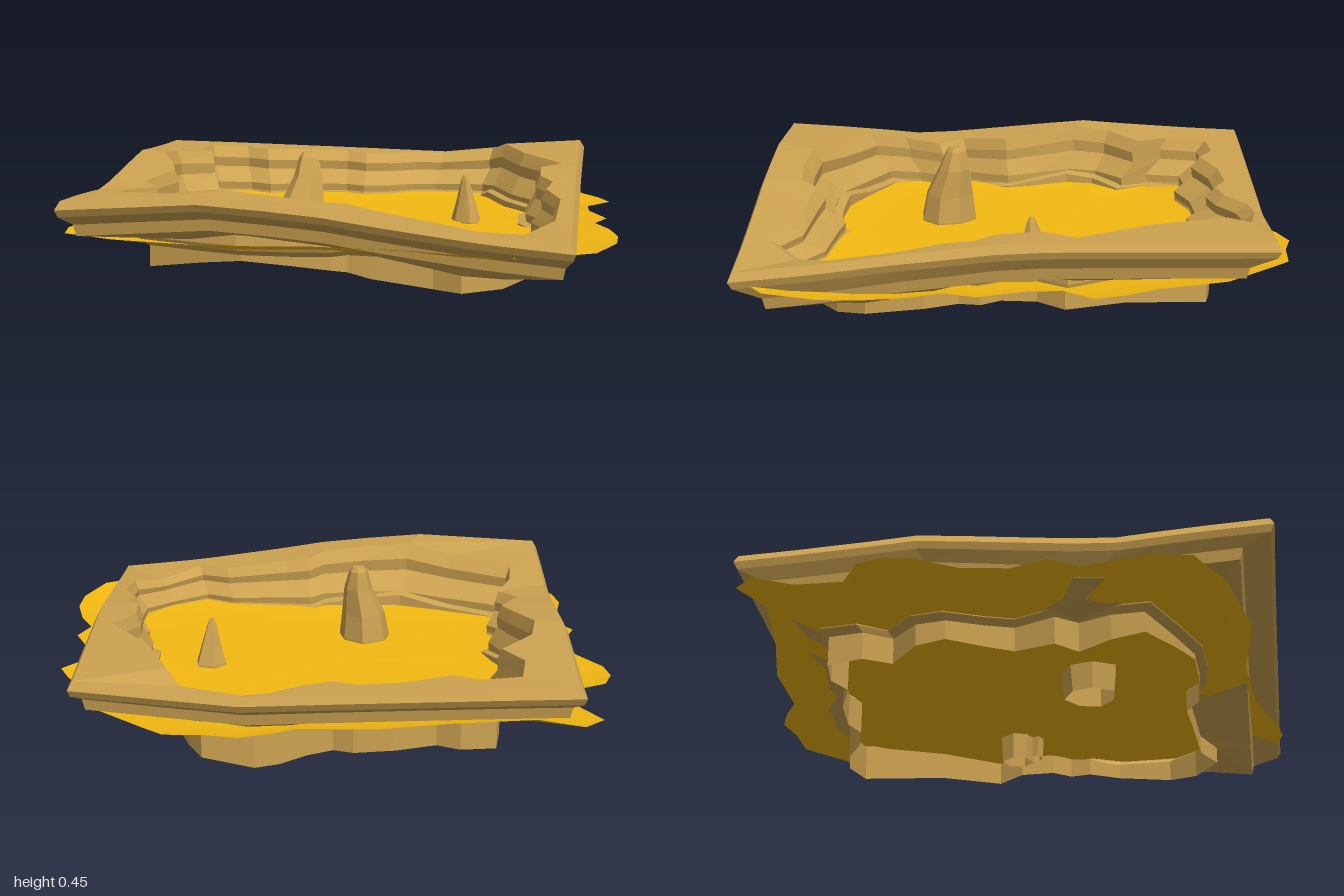
import * as THREE from 'three';

const rock = new THREE.MeshStandardMaterial({ color: 0xcda351, flatShading: true, side: THREE.DoubleSide });
const sand = new THREE.MeshStandardMaterial({ color: 0xf4ba12, side: THREE.DoubleSide });
const FLOOR = 0.17;

// Foot of the inner cliff, as x,z pairs, clockwise from the back left
const FOOT = [
  -.6, -.63, -.47, -.645, -.385, -.6, -.235, -.65, -.085, -.66, -.01, -.625, .085, -.65, .18, -.71, .27, -.725,
  .46, -.7, .51, -.62, .59, -.4, .73, -.18, .66, -.08, .665, .05, .71, .12, .69, .2, .74, .32, .73, .53, .64, .64,
  .5, .73, .395, .67, .17, .645, .085, .63, .03, .68, -.12, .69, -.29, .68, -.45, .615, -.66, .52, -.65, .4,
  -.6, .28, -.66, .2, -.59, .05, -.62, -.05, -.68, -.19, -.66, -.3, -.555, -.4, -.62, -.5,
];
// Outline of the sand sheet
const SHEET = [
  -.85, -.87, -.7, -.8, -.4, -.84, -.15, -.895, .11, -.89, .2, -.94, .3, -.975, .41, -.95, .55, -.945, .62, -.88,
  .78, -.72, .865, -.48, .93, -.375, .97, -.27, .89, -.16, .895, -.05, .96, .12, .92, .23, .97, .35, 1, .5, .995, .64,
  .93, .83, .865, .87, .75, .93, .65, .96, .54, .94, .3, .86, 0, .83, -.35, .86, -.7, .78, -.85, .7, -.89, .68,
  -.91, .56, -.89, .44, -.86, .3, -.925, .2, -.875, .07, -.9, -.1, -.985, -.24, -1, -.34, -.97, -.43, -.85, -.5,
  -.85, -.67, -.92, -.8,
];
// Around the rim: x, z, height of the edge, height of the skirt's bottom
const HEIGHTS = [
  [-.85, .95, .37, .1], [-.4, .95, .4, .13], [0, .95, .37, .11], [.4, .95, .31, .05], [.86, .95, .26, .04],
  [.86, .45, .32, .09], [.86, 0, .37, .1], [.86, -.88, .377, .06], [.35, -.88, .32, 0], [0, -.88, .33, .03],
  [-.4, -.88, .34, .04], [-.85, -.88, .35, .04], [-.85, -.25, .388, .08], [-.85, .4, .33, .04],
].map(([x, z, top, bottom]) => [Math.atan2(z, x), top, bottom]).sort((a, b) => a[0] - b[0]);

const pairs = (a) => Array.from({ length: a.length / 2 }, (_, i) => [a[2 * i], a[2 * i + 1]]);
const { lerp } = THREE.MathUtils;

// Interpolate a column of HEIGHTS by direction from the centre
function heightAt([x, z], column) {
  const a = Math.atan2(z, x), n = HEIGHTS.length;
  let i = HEIGHTS.findIndex((h) => h[0] > a);
  if (i < 0) i = n;
  const lo = HEIGHTS[(i + n - 1) % n], hi = HEIGHTS[i % n];
  const a0 = lo[0] - (i === 0 ? 2 * Math.PI : 0), a1 = hi[0] + (i === n ? 2 * Math.PI : 0);
  return lerp(lo[column], hi[column], (a - a0) / (a1 - a0));
}

// Skin consecutive closed rings of [x, y, z] points
function loft(rings, material, name) {
  const n = rings[0].length, index = [];
  for (let r = 0; r < rings.length - 1; r++) {
    for (let i = 0; i < n; i++) {
      const a = r * n + i, b = r * n + (i + 1) % n;
      index.push(a, a + n, b, b, a + n, b + n);
    }
  }
  const geo = new THREE.BufferGeometry();
  geo.setAttribute('position', new THREE.Float32BufferAttribute(rings.flat(2), 3));
  geo.setIndex(index);
  geo.computeVertexNormals();
  const mesh = new THREE.Mesh(geo, material);
  mesh.name = name;
  return mesh;
}

function makeRim() {
  const foot = pairs(FOOT);
  const skirt = foot.map(([x, z]) => [x * .96, z * .96]);
  const lip = foot.map(([x, z]) => [x * 1.08, z * 1.17]);
  // Project the lip outward onto the rectangular edge, then pin the corners
  const edge = lip.map(([x, z]) => {
    const k = Math.min((x > 0 ? .865 : .85) / Math.abs(x), (z > 0 ? .95 : .885) / Math.abs(z));
    return [x * k, z * k];
  });
  for (const c of [[-.85, -.885], [.865, -.885], [.865, .95], [-.85, .95]]) {
    const d = edge.map(([x, z]) => Math.hypot(x - c[0], z - c[1]));
    edge[d.indexOf(Math.min(...d))] = c;
  }
  const top = edge.map((p) => heightAt(p, 1));
  const bottom = foot.map((p) => heightAt(p, 2));

  // Skirt below the sand, then layered outer bands rise to the rim
  const rings = [
    skirt.map(([x, z], i) => [x, bottom[i], z]),
    skirt.map(([x, z], i) => [x, Math.max(bottom[i] + .03, top[i] - .18), z]),
  ];
  // Inset in x, inset in z, drop below the edge
  for (const [ix, iz, drop] of [[.05, .125, .135], [.04, .115, .095], [.01, .015, .055], [0, 0, .03], [.02, .015, 0]]) {
    rings.push(edge.map(([x, z], i) => [x * (1 - ix), top[i] - drop, z * (1 - iz)]));
  }
  // Layered inner cliff from the lip down to the foot
  for (const [t, h] of [[0, 1], [.32, .76], [.28, .55], [.97, .24], [.94, .08], [1, 0]]) {
    rings.push(foot.map(([x, z], i) => [
      lerp(lip[i][0], x, t), lerp(FLOOR, top[i] - .002, h), lerp(lip[i][1], z, t),
    ]));
  }
  rings.push(skirt.map(([x, z], i) => [x, Math.max(bottom[i], FLOOR - .02), z]), rings[0]);
  return loft(rings, rock, 'canyonRim');
}

// Shallow dish of sand with a ragged border
function makeSand() {
  const rings = [[1, .217], [.8, .176], [.5, FLOOR], [0, FLOOR]]
    .map(([k, y]) => pairs(SHEET).map(([x, z]) => [x * k, y, z * k]));
  return loft(rings, sand, 'sandFloor');
}

// Rock spire from levels of [x, y, z, radius], with an uneven outline
function makeSpire(levels, outline, name) {
  const n = outline.length;
  return loft(levels.map(([x, y, z, r]) => outline.map((k, i) => {
    const a = i / n * 2 * Math.PI + .3;
    return [x + Math.cos(a) * r * k, y, z + Math.sin(a) * r * k];
  })), rock, name);
}

export function createModel() {
  const model = new THREE.Group();
  model.name = 'canyonBasin';
  model.add(makeRim(), makeSand());

  model.add(makeSpire([
    [-.13, .07, .27, .09], [-.13, .175, .27, .1], [-.125, .27, .265, .085], [-.105, .37, .245, .056],
    [-.105, .44, .235, .036], [-.105, .455, .235, .024], [-.105, .455, .235, 0],
  ], [1, .95, 1.1, .95, 1, 1.1, .95], 'tallSpire'));

  model.add(makeSpire([
    [.44, .07, -.065, .055], [.44, .175, -.065, .06], [.44, .24, -.06, .04],
    [.437, .32, -.055, .017], [.437, .34, -.055, .008], [.437, .34, -.055, 0],
  ], [.95, 1.05, .85, .95, 1.15, 1.1], 'smallSpire'));
  model.add(makeSpire([
    [.46, .09, .0, .028], [.46, .175, .0, .032], [.458, .23, -.005, .02], [.455, .28, -.01, 0],
  ], [1, .9, 1.1, .9, 1], 'smallSpireShoulder'));
  return model;
}
